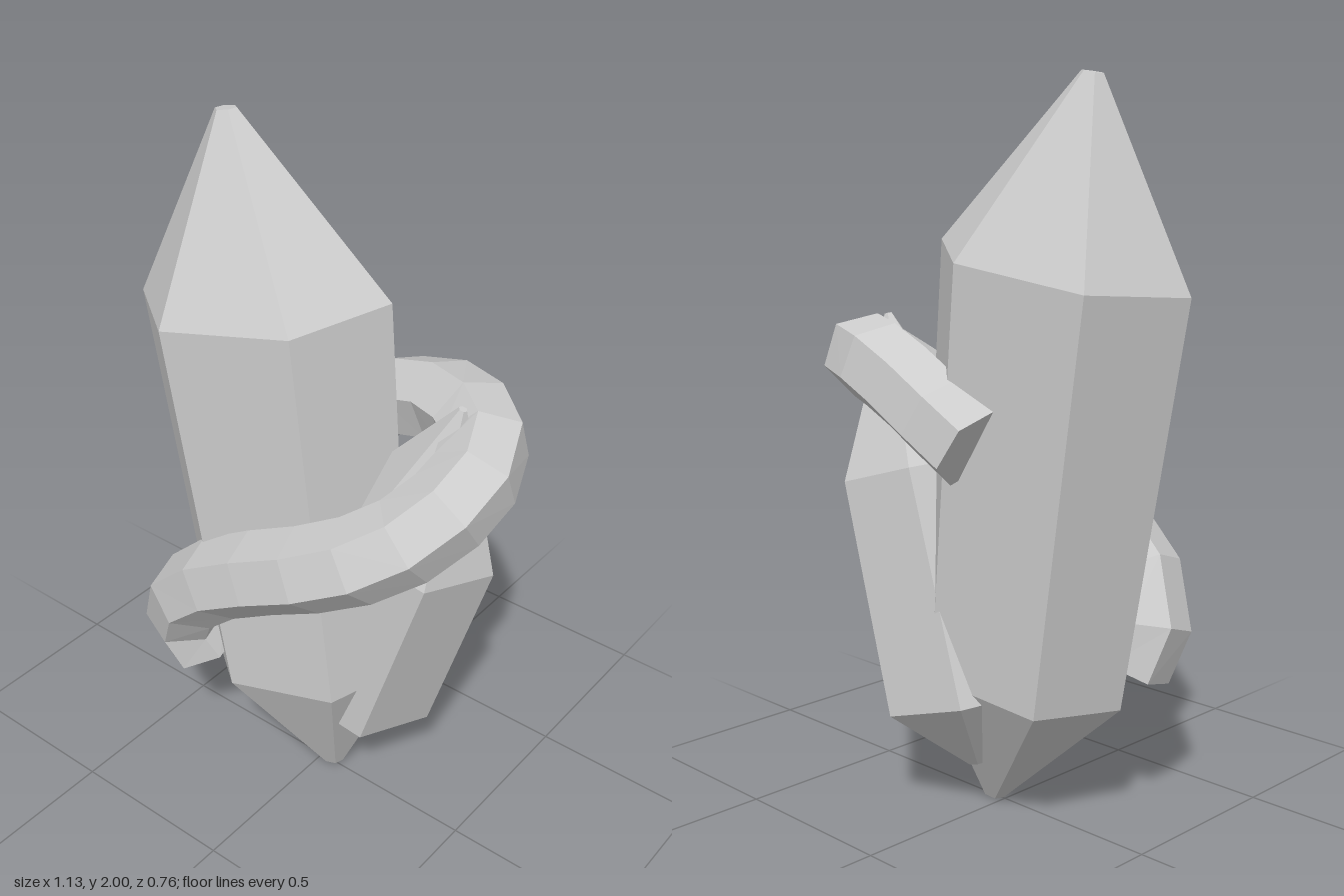
import * as THREE from 'three';

const stone = new THREE.MeshStandardMaterial({ color: 0xcccccc, flatShading: true });
stone.name = 'grey stone';
const SIDES = 6;

// Skins a list of six-sided rings and closes both ends
function loft(rings) {
  const positions = rings.flat().flatMap(p => p.toArray());
  const index = [];
  for (let i = 0; i < rings.length - 1; i++) {
    for (let j = 0; j < SIDES; j++) {
      const a = i * SIDES + j, b = i * SIDES + (j + 1) % SIDES;
      index.push(a, b, b + SIDES, a, b + SIDES, a + SIDES);
    }
  }
  const last = (rings.length - 1) * SIDES;
  for (let j = 1; j < SIDES - 1; j++) {
    index.push(0, j + 1, j, last, last + j, last + j + 1);
  }
  const indexed = new THREE.BufferGeometry();
  indexed.setAttribute('position', new THREE.Float32BufferAttribute(positions, 3));
  indexed.setIndex(index);
  const geometry = indexed.toNonIndexed();
  geometry.computeVertexNormals();
  return geometry;
}

// Ring around a centre, spanned by the vectors u and v
function ring(center, u, v, start = 0) {
  return Array.from({ length: SIDES }, (_, j) => {
    const t = start + j * Math.PI * 2 / SIDES;
    return center.clone().addScaledVector(u, Math.cos(t)).addScaledVector(v, Math.sin(t));
  });
}

// Upright crystal: profile rows are [height, scale of the cross-section, shift in x]
function crystal(name, profile, rx, rz, startDegrees) {
  const rings = profile.map(([y, s, dx]) => ring(
    new THREE.Vector3(dx, y, 0),
    new THREE.Vector3(rx * s, 0, 0),
    new THREE.Vector3(0, 0, -rz * s),
    THREE.MathUtils.degToRad(startDegrees)));
  const mesh = new THREE.Mesh(loft(rings), stone);
  mesh.name = name;
  return mesh;
}

// Six-sided band swept along a rising path, one ridge pointing outward
function band() {
  const path = [
    [-0.3, 0.43, 0.18], [-0.335, 0.54, 0.215], [-0.27, 0.67, 0.255], [-0.15, 0.78, 0.265],
    [0, 0.87, 0.262], [0.15, 0.945, 0.25], [0.28, 1.015, 0.215], [0.38, 1.085, 0.15],
    [0.445, 1.16, 0.06], [0.463, 1.215, -0.03], [0.425, 1.25, -0.13], [0.34, 1.262, -0.2],
    [0.22, 1.25, -0.25], [0.09, 1.205, -0.272], [-0.03, 1.14, -0.275], [-0.145, 1.07, -0.265],
  ].map(p => new THREE.Vector3(...p));
  const radius = 0.118;
  const out = new THREE.Vector3(0.15, -0.26, 0.94);
  const rings = path.map((p, i) => {
    const before = path[Math.max(i - 1, 0)], after = path[Math.min(i + 1, path.length - 1)];
    const tangent = after.clone().sub(before).normalize();
    // Carry the outward direction along the path without twisting
    out.addScaledVector(tangent, -out.dot(tangent)).normalize();
    const side = tangent.clone().cross(out);
    return ring(p, out.clone().multiplyScalar(radius), side.multiplyScalar(radius));
  });
  const mesh = new THREE.Mesh(loft(rings), stone);
  mesh.name = 'wrappingBand';
  return mesh;
}

export function createModel() {
  const model = new THREE.Group();
  model.name = 'crystalCluster';

  // Tall crystal leaning to -x
  const large = crystal('largeCrystal',
    [[0, 0.09, 0], [0.405, 0.87, -0.025], [1.525, 1, 0.022], [2.015, 0.085, 0.005]], 0.38, 0.295, 15);
  large.position.set(0.04, 0.01, -0.005);
  large.rotation.z = THREE.MathUtils.degToRad(10);

  // Short crystal leaning to +x, its tip poking out above the band
  const small = crystal('smallCrystal',
    [[0, 0.12, 0], [0.185, 1.08, -0.01], [0.84, 1.02, 0.01], [1.285, 0.05, 0.01]], 0.235, 0.21, 9);
  small.position.set(0.015, 0.135, -0.09);
  small.rotation.set(THREE.MathUtils.degToRad(0.7), 0, THREE.MathUtils.degToRad(-16.4));

  model.add(large, small, band());
  return model;
}
